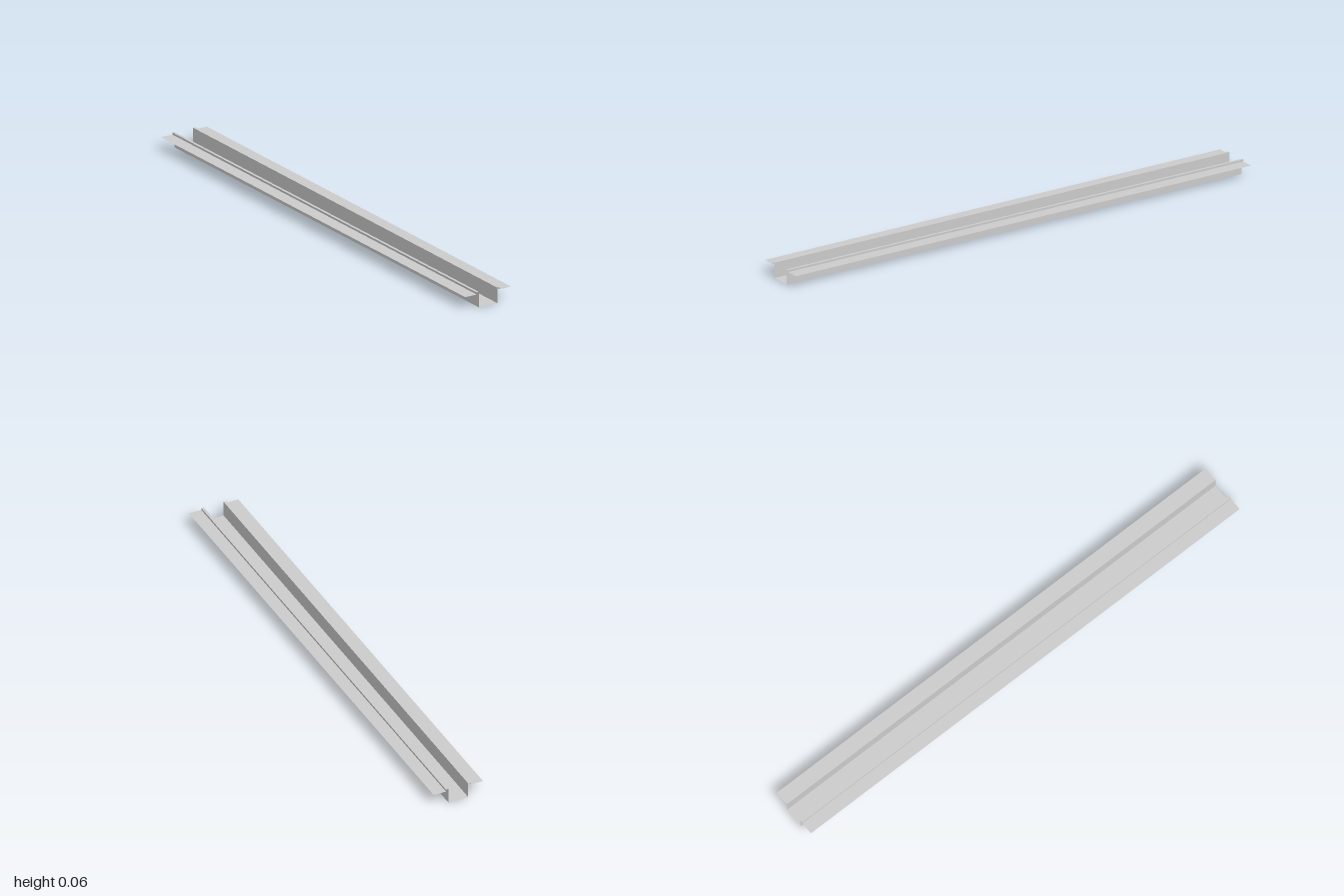
import * as THREE from 'three';

const LENGTH = 2;
const material = new THREE.MeshStandardMaterial({
  color: 0xcccccc, flatShading: true, side: THREE.DoubleSide,
});

// Thin sheet running the whole length along z, from cross-section points [x, y]
function sheet(name, points) {
  const positions = [];
  for (let i = 0; i < points.length - 1; i++) {
    const [ax, ay] = points[i], [bx, by] = points[i + 1];
    const f = LENGTH / 2, b = -LENGTH / 2;
    positions.push(ax, ay, f, bx, by, f, bx, by, b);
    positions.push(ax, ay, f, bx, by, b, ax, ay, b);
  }
  const geometry = new THREE.BufferGeometry();
  geometry.setAttribute('position', new THREE.Float32BufferAttribute(positions, 3));
  geometry.computeVertexNormals();
  const mesh = new THREE.Mesh(geometry, material);
  mesh.name = name;
  return mesh;
}

export function createModel() {
  const group = new THREE.Group();
  group.name = 'hatChannel';

  // Channel floor
  group.add(sheet('floor', [[-0.04, 0], [0.04, 0]]));

  // Mirrored walls, raised lips and outer flanges
  const parts = {
    Wall: [[0.04, 0], [0.04, 0.06]],
    Lip: [[0.04, 0.06], [0.05, 0.06], [0.05, 0.052]],
    Flange: [[0.05, 0.052], [0.1, 0.052]],
  };
  for (const [side, s] of [['left', 1], ['right', -1]]) {
    for (const [part, profile] of Object.entries(parts)) {
      const points = profile.map(([x, y]) => [s * x, y]);
      if (s < 0) points.reverse();
      group.add(sheet(side + part, points));
    }
  }
  return group;
}
